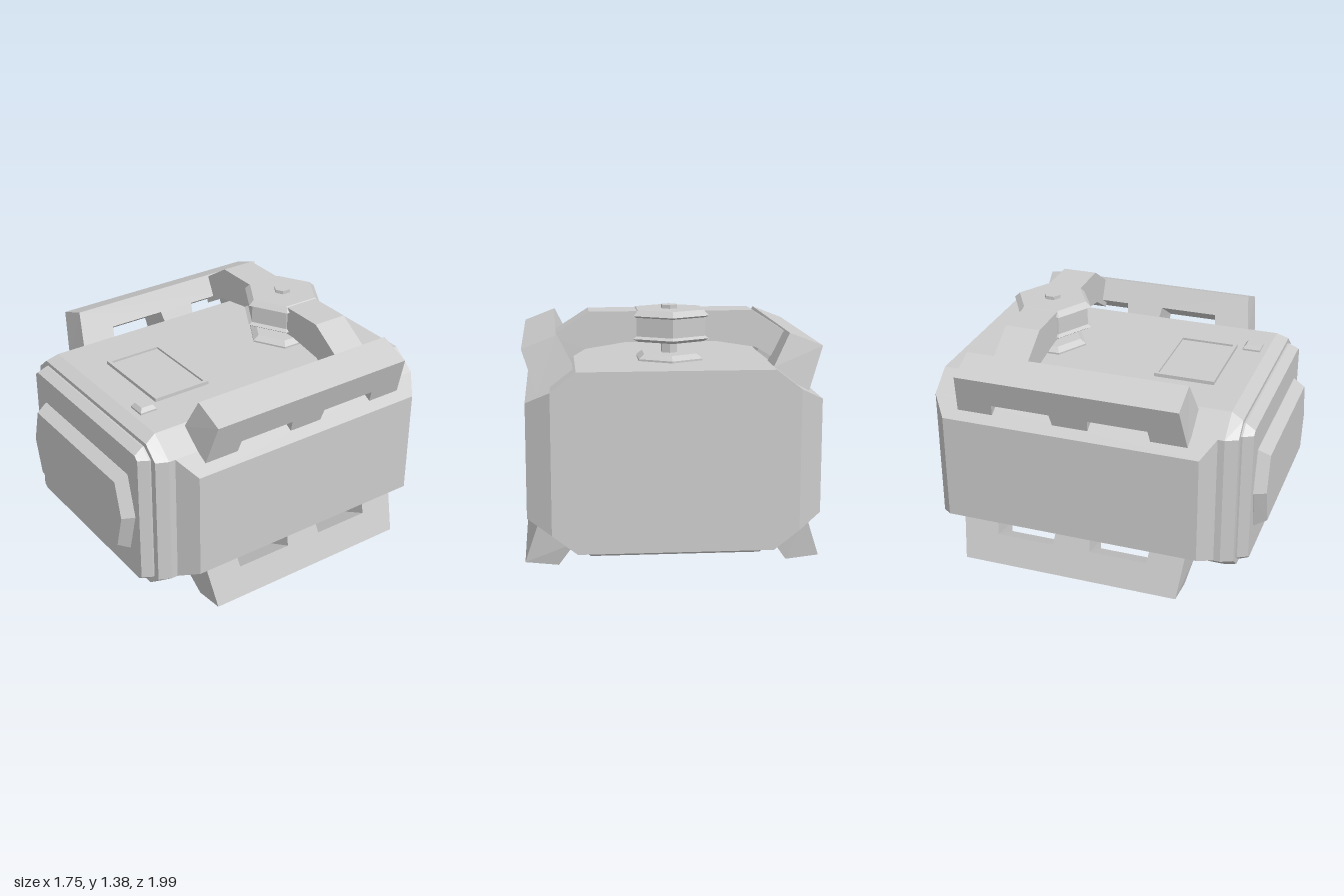
import * as THREE from 'three';
import { ConvexGeometry } from 'three/addons/geometries/ConvexGeometry.js';

const MID = 0.6; // height of the casing's centre line
const material = new THREE.MeshStandardMaterial({ color: 0xcccccc, flatShading: true });

function part(name, geometry, parent) {
  const mesh = new THREE.Mesh(geometry, material);
  mesh.name = name;
  parent.add(mesh);
  return mesh;
}

// Points mirrored left/right and about the casing's centre line
const mirror4 = (x, y, z) => [1, -1].flatMap(a => [1, -1].map(b => new THREE.Vector3(a * x, MID + b * (y - MID), z)));

// Octagonal slice: side half-width and height, top half-width and height, depth
const octagon = (sideX, sideY, topX, topY, z) => [...mirror4(sideX, sideY, z), ...mirror4(topX, topY, z)];

// Rectangle in the horizontal plane
const rect = (hx, hz, y, cx = 0, cz = 0) =>
  [1, -1].flatMap(a => [1, -1].map(b => new THREE.Vector3(cx + a * hx, y, cz + b * hz)));

const hull = points => new ConvexGeometry(points);

// Six-sided turned part
function hexTurned(profile) {
  return new THREE.LatheGeometry(profile.map(p => new THREE.Vector2(...p)), 6);
}

// Notched rail: drawn in length and height, then fitted to a four-cornered section
function railGeometry(sx, up, [outBase, outTip, inBase, inTip]) {
  const shape = new THREE.Shape([
    [-0.66, 0], [-0.455, 0], [-0.445, 0.33], [-0.11, 0.33], [-0.1, 0],
    [0.1, 0], [0.11, 0.33], [0.445, 0.33], [0.455, 0], [0.66, 0],
    [0.63, 1], [-0.63, 1]
  ].map(p => new THREE.Vector2(...p)));
  const geometry = new THREE.ExtrudeGeometry(shape, { depth: 1, bevelEnabled: false });
  const pos = geometry.attributes.position;
  const mix = THREE.MathUtils.lerp;
  for (let i = 0; i < pos.count; i++) {
    const z = pos.getX(i), t = pos.getY(i);
    const s = sx * up < 0 ? 1 - pos.getZ(i) : pos.getZ(i);
    const x = mix(mix(outBase[0], outTip[0], t), mix(inBase[0], inTip[0], t), s);
    const y = mix(mix(outBase[1], outTip[1], t), mix(inBase[1], inTip[1], t), s);
    pos.setXYZ(i, sx * x, y, z - 0.1);
  }
  geometry.computeVertexNormals();
  return geometry;
}

export function createModel() {
  const model = new THREE.Group();
  model.name = 'container';
  const body = new THREE.Group();
  body.name = 'body';
  body.position.x = -0.018;
  body.rotation.y = THREE.MathUtils.degToRad(-7.3);
  model.add(body);

  // Casing with its stepped front
  part('casing', hull([
    ...octagon(0.655, 0.98, 0.52, 1.085, -0.925),
    ...octagon(0.655, 0.98, 0.52, 1.085, 0.737),
    ...octagon(0.625, 0.98, 0.54, 1.053, 0.805)
  ]), body);
  part('frontStep', hull([
    ...octagon(0.585, 0.98, 0.52, 1.03, 0.78),
    ...octagon(0.585, 0.98, 0.52, 1.03, 0.815),
    ...octagon(0.555, 0.98, 0.53, 1.0, 0.87)
  ]), body);

  // Raised six-sided front panel
  part('frontPanel', hull([
    ...octagon(0.515, 0.6, 0.45, 0.84, 0.86),
    ...octagon(0.515, 0.6, 0.45, 0.84, 0.873),
    ...octagon(0.485, 0.6, 0.43, 0.805, 0.94)
  ]), body);

  // Flared side blocks and the bottom plate
  for (const s of [1, -1]) {
    const block = [[0.6, 0.98, -0.925], [0.655, 0.98, -0.925], [0.785, 0.91, -0.825],
      [0.6, 0.98, 0.70], [0.655, 0.98, 0.70], [0.785, 0.91, 0.637]];
    part(s > 0 ? 'leftSide' : 'rightSide', hull(block.flatMap(([x, y, z]) =>
      [y, 2 * MID - y].map(h => new THREE.Vector3(s * x, h, z)))), body);
  }
  part('bottomPlate', hull([...rect(0.49, 0.8, 0.125, 0, -0.085), ...rect(0.45, 0.77, 0.085, 0, -0.085)]), body);

  // Four notched corner rails
  const upper = [[0.72, 0.93], [0.80, 1.18], [0.53, 1.07], [0.62, 1.25]];
  const lower = [[0.72, 0.265], [0.80, 0.02], [0.53, 0.13], [0.62, 0]];
  for (const s of [1, -1]) {
    const side = s > 0 ? 'left' : 'right';
    part(side + 'UpperRail', railGeometry(s, 1, upper), body);
    part(side + 'LowerRail', railGeometry(s, -1, lower), body);
  }

  // Arched carrying handle
  const half = [[0.24, 1.19], [0.46, 1.155], [0.62, 1.06], [0.65, 1.22], [0.44, 1.355]];
  const arch = [...half, ...half.map(([x, y]) => [-x, y]).reverse()];
  const handle = part('handle', new THREE.ExtrudeGeometry(
    new THREE.Shape(arch.map(p => new THREE.Vector2(...p))), { depth: 0.2, bevelEnabled: false }), body);
  handle.position.z = -0.575;

  // Six-sided hub with stem, cap and flange
  const hub = new THREE.Group();
  hub.name = 'hub';
  hub.position.z = -0.476;
  body.add(hub);
  part('hubKnob', hexTurned([[0, 1.19], [0.205, 1.19], [0.236, 1.207], [0.214, 1.22],
    [0.214, 1.32], [0.236, 1.33], [0.205, 1.36], [0, 1.36]]), hub);
  part('hubStem', hexTurned([[0.048, 1.08], [0.048, 1.38], [0, 1.38]]), hub);
  part('hubFlange', hexTurned([[0.2, 1.08], [0.2, 1.095], [0.165, 1.12], [0, 1.12]]), hub);

  // Framed display on the lid
  const frame = new THREE.Shape([[-0.257, -0.172], [0.257, -0.172], [0.257, 0.172], [-0.257, 0.172]]
    .map(p => new THREE.Vector2(...p)));
  frame.holes.push(new THREE.Path([[-0.237, -0.152], [-0.237, 0.152], [0.237, 0.152], [0.237, -0.152]]
    .map(p => new THREE.Vector2(...p))));
  const display = part('displayFrame', new THREE.ExtrudeGeometry(frame, { depth: 0.03, bevelEnabled: false }), body);
  display.rotation.x = -Math.PI / 2;
  display.position.set(0, 1.075, 0.393);
  part('displayScreen', new THREE.BoxGeometry(0.48, 0.02, 0.31), body).position.set(0, 1.083, 0.393);

  // Small push button
  part('button', hull([...rect(0.05, 0.05, 1.08, 0.278, 0.653), ...rect(0.05, 0.05, 1.095, 0.278, 0.653),
    ...rect(0.034, 0.034, 1.117, 0.278, 0.653)]), body);

  return model;
}
